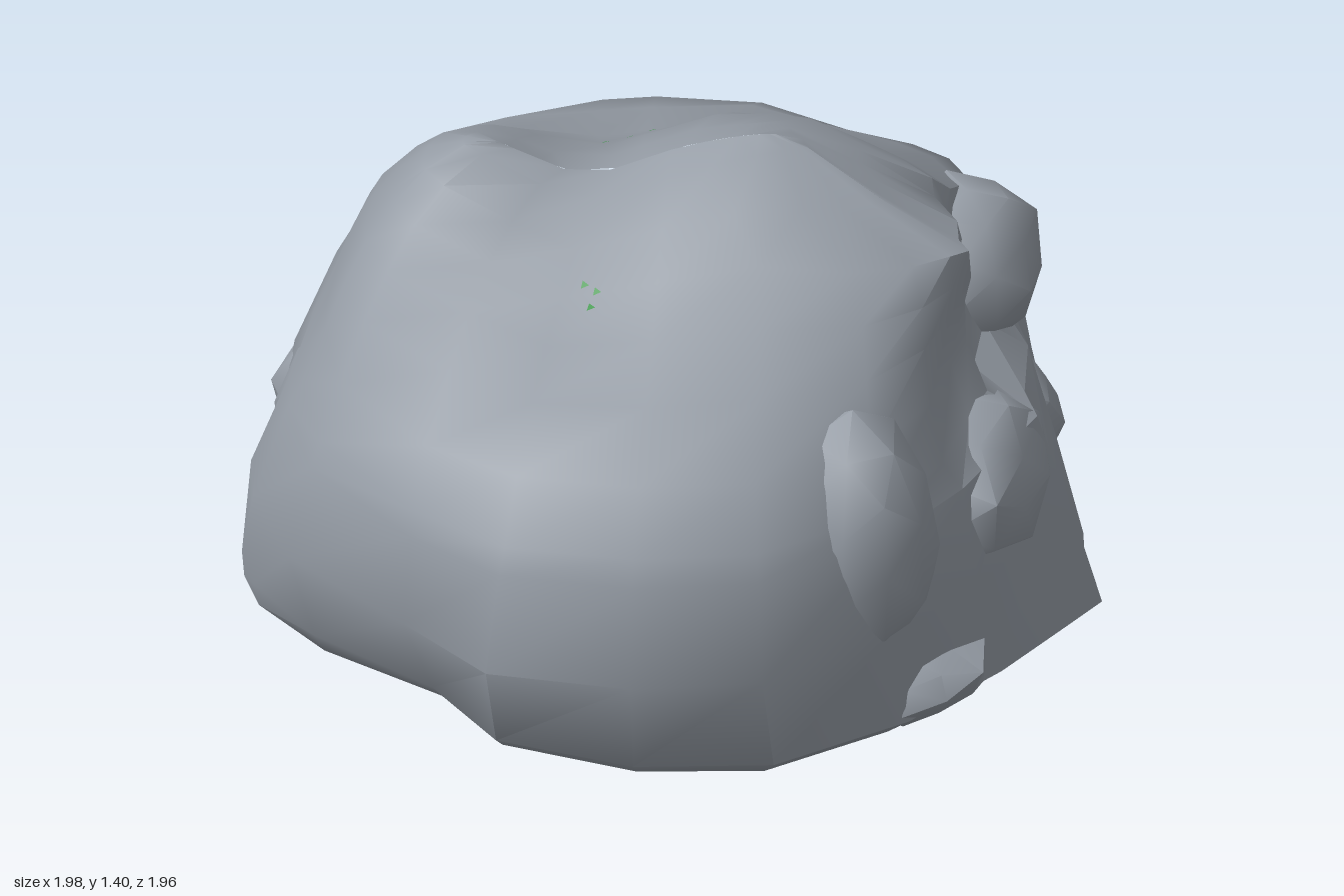
import * as THREE from 'three';
import { mergeVertices, toCreasedNormals } from 'three/addons/utils/BufferGeometryUtils.js';

const rock = new THREE.MeshStandardMaterial({ name: 'greyRock', color: 0x969da6 });
const moss = new THREE.MeshStandardMaterial({ name: 'mossGreen', color: 0x459a50, side: THREE.DoubleSide });

// Plan outline of the foot, from the back round the left side to the front (x, z)
const outline = [
  [-0.15, -0.98], [0.15, -0.97], [0.4, -0.82], [0.58, -0.8], [0.7, -0.75], [0.83, -0.6], [0.83, -0.4],
  [0.93, -0.2], [0.95, 0], [1, 0.11], [0.93, 0.23], [0.8, 0.45], [0.61, 0.7], [0.32, 0.93], [0, 0.98],
  [-0.34, 0.92], [-0.53, 0.7], [-0.83, 0.47], [-0.97, 0.23], [-1, 0.08], [-0.95, -0.2], [-0.96, -0.47],
  [-0.75, -0.74], [-0.55, -0.81], [-0.3, -0.94],
];

// Levels: y, reach to -x, +x, -z, +z, swell of the front right corner, hollow of the left side
const levels = [
  [0.09, 0, 0, 0, 0, 0, 0], [0.095, 0.3, 0.3, 0.3, 0.3, 0, 0], [0.12, 0.72, 0.68, 0.64, 0.6, -0.06, 0],
  [0.18, 0.99, 0.91, 0.88, 0.84, -0.1, 0], [0.25, 0.99, 1, 0.9, 0.93, -0.07, 0],
  [0.5, 0.95, 0.93, 0.94, 0.98, 0.05, 0], [0.74, 0.86, 0.88, 0.97, 0.93, 0.05, 0.03],
  [0.8, 0.83, 0.86, 0.96, 0.9, 0.05, 0.13], [0.93, 0.78, 0.82, 0.89, 0.8, 0.04, 0.14],
  [1.04, 0.74, 0.78, 0.7, 0.62, 0.02, 0.1], [1.13, 0.7, 0.75, 0.5, 0.46, 0, 0.05],
  [1.22, 0.64, 0.7, 0.38, 0.33, 0, 0], [1.3, 0.57, 0.5, 0.25, 0.22, 0, 0],
  [1.36, 0.48, 0.32, 0.1, 0.08, 0, 0], [1.38, 0.4, 0.24, 0, 0, 0, 0],
];

function boulderGeometry() {
  const { smoothstep, lerp } = THREE.MathUtils;
  const pos = [], index = [], n = outline.length;
  for (const [y, left, right, back, front, swell, hollow] of levels) {
    const top = smoothstep(y, 0.92, 1.3);
    for (const [ox, oz] of outline) {
      // The plan turns from the ragged foot into a rounded square higher up, mostly on the right
      const c = ox / Math.hypot(ox, oz), s = oz / Math.hypot(ox, oz);
      const r = (Math.abs(c) ** 2.4 + Math.abs(s) ** 2.4) ** (-1 / 2.4);
      const round = smoothstep(y, 0.3, 1.0) * (0.55 - 0.35 * c);
      const corner = 1 + swell * Math.max(0, 0.73 * s - 0.68 * c) ** 6;
      const dent = hollow * Math.max(0, c) ** 8;
      const x = lerp(ox, c * r, round) * (ox < 0 ? left : right) * corner - dent;
      const z = lerp(oz / 0.98, s * r, round) * (oz < 0 ? back : front) * corner;
      // The summit has a saddle, a slightly higher left peak and a ridge that bends forward
      const dip = 0.1 * Math.exp(-(((x + 0.2) / 0.18) ** 2));
      const peak = 0.03 * Math.exp(-(((x - 0.25) / 0.15) ** 2));
      pos.push(x, y + top * (peak - dip - 0.01), z + top * 0.35 * Math.max(0, x - 0.3));
    }
  }
  for (let j = 0; j < levels.length - 1; j++) {
    for (let i = 0; i < n; i++) {
      const a = j * n + i, b = j * n + (i + 1) % n;
      index.push(a, a + n, b, b, a + n, b + n);
    }
  }
  const g = new THREE.BufferGeometry();
  g.setAttribute('position', new THREE.Float32BufferAttribute(pos, 3));
  g.setIndex(index);
  return toCreasedNormals(g, 0.75);
}

// Irregular stone: a faceted ball pushed in and out by a seeded rule
function stone(name, center, size, seed, rough = 0.15, turn = 0) {
  let g = new THREE.IcosahedronGeometry(1, 1);
  g.deleteAttribute('normal');
  g.deleteAttribute('uv');
  g = mergeVertices(g, 1e-3);
  const p = g.attributes.position, v = new THREE.Vector3();
  for (let i = 0; i < p.count; i++) {
    v.fromBufferAttribute(p, i);
    const s = Math.sin(v.x * 12.9 + v.y * 78.2 + v.z * 37.7 + seed) * 43.7;
    v.multiplyScalar(1 - rough * (s - Math.floor(s)));
    p.setXYZ(i, v.x, v.y, v.z);
  }
  g.scale(...size);
  const mesh = new THREE.Mesh(toCreasedNormals(g, 0.8), rock);
  mesh.name = name;
  mesh.position.set(...center);
  mesh.rotation.y = turn;
  return mesh;
}

export function createModel() {
  const group = new THREE.Group();
  group.name = 'boulder';
  const body = new THREE.Mesh(boulderGeometry(), rock);
  body.name = 'mainBoulder';
  group.add(body);

  // Shallow outcrops around the sides
  group.add(
    stone('frontLeftBulge', [0.47, 0.68, 0.56], [0.2, 0.34, 0.22], 1, 0.06, 0.5),
    stone('frontLeftFoot', [0.58, 0.3, 0.48], [0.22, 0.12, 0.24], 2, 0.2, 0.6),
    stone('leftUpperRock', [0.65, 0.88, -0.32], [0.19, 0.22, 0.22], 3, 0.15),
    stone('leftFrontRock', [0.68, 0.62, 0.16], [0.22, 0.22, 0.32], 4, 0.15),
    stone('leftBackRock', [0.7, 0.45, -0.34], [0.18, 0.2, 0.24], 6, 0.2),
    stone('rightUpperRock', [-0.72, 0.56, -0.08], [0.21, 0.22, 0.28], 7, 0.15),
    stone('rightBackRock', [-0.72, 0.42, -0.4], [0.24, 0.24, 0.22], 9, 0.2),
  );

  // Small stone under the base
  group.add(stone('baseKnob', [-0.01, 0.078, -0.02], [0.25, 0.085, 0.24], 12, 0.15));

  // Scalloped moss collar around the knob
  const collar = new THREE.Shape();
  for (let i = 0; i < 32; i++) {
    const a = i / 32 * Math.PI * 2, r = i % 2 ? 0.28 : 0.32;
    collar[i ? 'lineTo' : 'moveTo'](Math.cos(a) * r, Math.sin(a) * r);
  }
  collar.holes.push(new THREE.Path().absarc(0, 0, 0.21, 0, Math.PI * 2, true));
  const ring = new THREE.Mesh(new THREE.ExtrudeGeometry(collar, { depth: 0.008, bevelEnabled: false }), moss);
  ring.name = 'mossCollar';
  ring.rotation.x = Math.PI / 2;
  ring.position.set(0, 0.094, -0.02);
  group.add(ring);

  // Moss flecks laid on the two slopes below the saddle
  const down = new THREE.Vector3(0, -1, 0), outward = new THREE.Vector3(0, 0, 1);
  const flecks = [[-0.17, 0.3], [-0.14, 0.32], [-0.15, 0.36], [-0.18, -0.31], [-0.12, -0.29], [-0.07, -0.33], [-0.08, -0.39]];
  for (const [x, z] of flecks) {
    const hit = new THREE.Raycaster(new THREE.Vector3(x, 2, z), down).intersectObject(body)[0];
    const fleck = new THREE.Mesh(new THREE.CircleGeometry(0.012, 3), moss);
    fleck.name = 'mossFleck';
    fleck.quaternion.setFromUnitVectors(outward, hit.face.normal);
    fleck.position.copy(hit.point).addScaledVector(hit.face.normal, 0.004);
    group.add(fleck);
  }

  return group;
}
